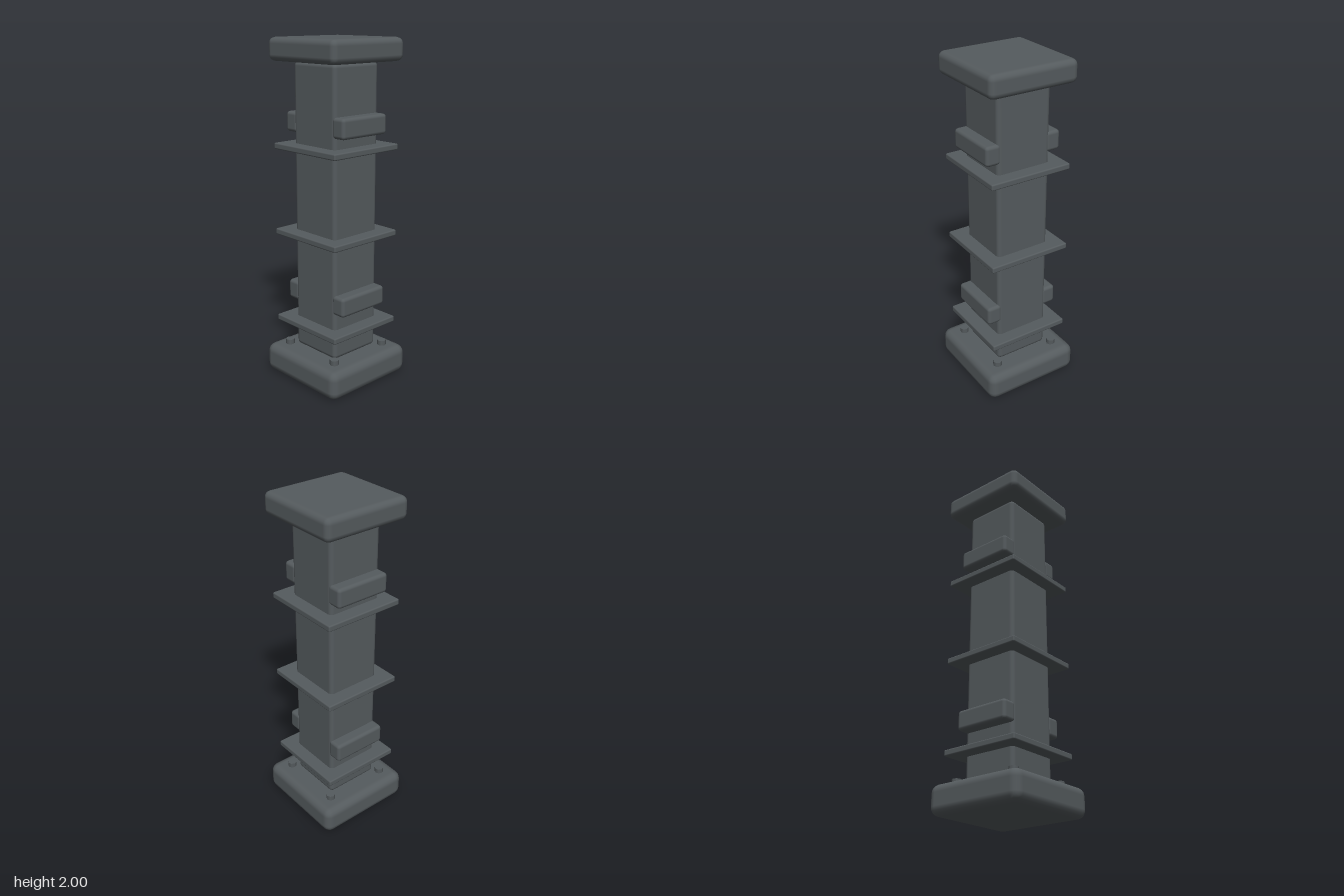
import * as THREE from 'three';
import { RoundedBoxGeometry } from 'three/addons/geometries/RoundedBoxGeometry.js';

export function createModel() {
  const model = new THREE.Group();
  model.name = 'pillar';
  const darkSteel = new THREE.MeshStandardMaterial({ color: 0x555b5e });
  darkSteel.name = 'dark steel';

  function add(name, geometry, x, y, z) {
    const mesh = new THREE.Mesh(geometry, darkSteel);
    mesh.name = name;
    mesh.position.set(x, y, z);
    model.add(mesh);
  }

  // Rounded block spanning bottom to top
  function block(name, width, depth, bottom, top, radius, x = 0) {
    const geometry = new RoundedBoxGeometry(width, top - bottom, depth, 2, radius);
    add(name, geometry, x, (bottom + top) / 2, 0);
  }

  // Main column
  block('base', 0.608, 0.608, 0, 0.172, 0.05);
  block('shaft', 0.336, 0.336, 0.174, 1.87, 0.025);
  block('cap', 0.54, 0.54, 1.87, 2, 0.035);

  // Thin collar plates
  for (const y of [0.343, 0.886, 1.394]) {
    block('collarPlate', 0.506, 0.493, y - 0.018, y + 0.018, 0.008);
  }

  // Side brackets, in pairs
  for (const y of [0.514, 1.53]) {
    for (const side of [-1, 1]) {
      block('sideBracket', 0.092, 0.338, y - 0.058, y + 0.058, 0.02, side * 0.191);
    }
  }

  // Bolts on the base corners
  const bolt = new THREE.CylinderGeometry(0.027, 0.027, 0.05, 8);
  for (const x of [-0.197, 0.197]) {
    for (const z of [-0.197, 0.197]) add('baseBolt', bolt, x, 0.177, z);
  }

  return model;
}
